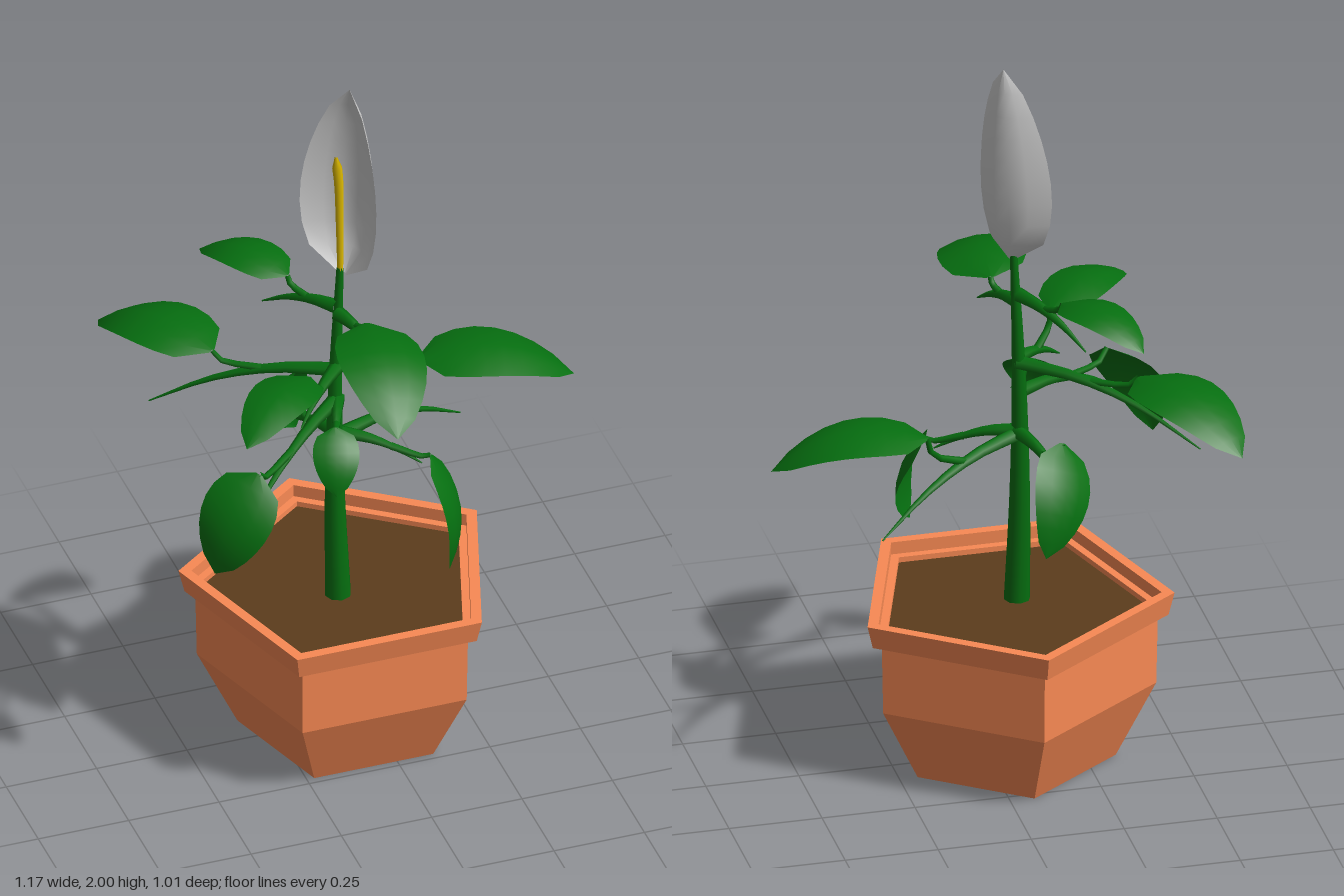
import * as THREE from 'three';

const V = (p) => new THREE.Vector3(...p);
const mat = (color, extra = {}) => new THREE.MeshStandardMaterial({ color, ...extra });
const green = mat(0x066f10);
const leafGreen = mat(0x066f10, { side: THREE.DoubleSide });
const clay = mat(0xf98a54, { flatShading: true });
const soilBrown = mat(0x5c3d1c, { flatShading: true });
const white = mat(0xcccccc, { side: THREE.DoubleSide });
const yellow = mat(0xe0bc00);

function add(parent, name, geometry, material) {
  const mesh = new THREE.Mesh(geometry, material);
  mesh.name = name;
  parent.add(mesh);
  return mesh;
}

// Tube through points whose radius follows a rule of t
function taperedTube(points, radiusAt, segments = 8, sides = 7) {
  const curve = new THREE.CatmullRomCurve3(points);
  const geo = new THREE.TubeGeometry(curve, segments, 1, sides);
  const pos = geo.attributes.position;
  const v = new THREE.Vector3();
  for (let i = 0; i <= segments; i++) {
    const c = curve.getPointAt(i / segments);
    for (let j = 0; j <= sides; j++) {
      const k = i * (sides + 1) + j;
      v.fromBufferAttribute(pos, k).sub(c).multiplyScalar(radiusAt(i / segments)).add(c);
      pos.setXYZ(k, v.x, v.y, v.z);
    }
  }
  return geo;
}

// Smooth sheet from a rule of t (0 to 1 along) and s (-1 to 1 across)
function sheet(rows, cols, pointAt) {
  const pos = [], index = [];
  for (let i = 0; i <= rows; i++) {
    for (let j = 0; j <= cols; j++) {
      pos.push(...pointAt(i / rows, (j / cols) * 2 - 1).toArray());
      if (i < rows && j < cols) {
        const a = i * (cols + 1) + j, b = a + cols + 1;
        index.push(a, a + 1, b, b, a + 1, b + 1);
      }
    }
  }
  const geo = new THREE.BufferGeometry();
  geo.setAttribute('position', new THREE.Float32BufferAttribute(pos, 3));
  geo.setIndex(index);
  geo.computeVertexNormals();
  return geo;
}

// Oval outline, widest below the middle, as a fraction of the full half width
const outline = (t) => 0.1 * (1 - t) ** 3 + Math.sin(Math.PI * t ** 0.75) ** 0.62;

// Leaf blade: arched midrib with slightly lowered edges
function leafGeometry(base, tip, half, sideVector) {
  const along = tip.clone().sub(base);
  const length = along.length();
  along.normalize();
  const side = sideVector ? V(sideVector) : along.clone().cross(new THREE.Vector3(0, 1, 0));
  side.addScaledVector(along, -side.dot(along)).normalize();
  const up = side.clone().cross(along).normalize();
  return sheet(8, 4, (t, s) => {
    const w = outline(t) * half;
    const lift = 0.64 * length * t * (1 - t);
    return base.clone().lerp(tip, t).addScaledVector(side, s * w).addScaledVector(up, lift - 0.2 * s * s * w);
  });
}

// Branch sinking away from the stem to a spike, with a stalk up to its leaf
function makeShoot({ y, base, tip, half, side, reach = 1.5 }) {
  const shoot = new THREE.Group();
  const leafBase = V(base);
  const root = new THREE.Vector3(-0.09, y, 0.018);
  const run = leafBase.clone().sub(root).setY(0).multiplyScalar(reach);
  const drop = 0.35 * run.length();
  const branchAt = (t) => root.clone().addScaledVector(run, t).setY(y - drop * t * t);
  add(shoot, 'branch', taperedTube([0, 0.33, 0.67, 1].map(branchAt), (t) => 0.021 - 0.019 * t, 8, 6), green);
  const joint = branchAt(0.57 / reach);
  const bend = branchAt(0.84 / reach).lerp(leafBase, 0.6);
  add(shoot, 'leafStalk', taperedTube([joint, bend, leafBase], (t) => 0.011 - 0.004 * t, 4, 6), green);
  add(shoot, 'leaf', leafGeometry(leafBase, V(tip), half, side), leafGreen);
  return shoot;
}

// Height on the stem, leaf ends, half width, width direction of tilted leaves, length of branch
const shoots = [
  { y: 1.31, base: [-0.045, 1.335, 0.12], tip: [-0.095, 1.23, 0.505], half: 0.115, side: [-1, 0.12, -0.1] },
  { y: 1.14, base: [-0.21, 1.21, 0.13], tip: [-0.46, 1.185, 0.355], half: 0.085, reach: 1.25 },
  { y: 1.33, base: [-0.18, 1.36, -0.12], tip: [-0.335, 1.315, -0.37], half: 0.075 },
  { y: 1.13, base: [-0.375, 1.14, -0.16], tip: [-0.565, 1.05, -0.51], half: 0.11 },
  { y: 0.93, base: [-0.165, 0.98, -0.18], tip: [-0.085, 0.72, -0.32], half: 0.088, side: [0.85, 0, -0.4], reach: 1.2 },
  { y: 0.92, base: [0.185, 1.01, -0.12], tip: [0.585, 0.92, -0.04], half: 0.113 },
  { y: 0.93, base: [0.13, 0.88, 0.13], tip: [0.14, 0.59, 0.245], half: 0.085, side: [-0.45, 0.1, 0.8], reach: 0.9 },
  { y: 1.04, base: [-0.39, 1.02, 0.25], tip: [-0.52, 0.75, 0.275], half: 0.1, side: [-0.7, 0, -0.7], reach: 1.1 },
  { y: 1.04, base: [-0.15, 1.06, 0.17], tip: [-0.18, 0.91, 0.27], half: 0.06, reach: 1.1 },
];

export function createModel() {
  const model = new THREE.Group();
  model.name = 'pottedPlant';

  // Five-sided pot with a stepped rim, one corner to the back
  const profile = [[0, 0], [0.28, 0], [0.386, 0.215], [0.39, 0.41], [0.418, 0.415], [0.434, 0.48],
    [0.4, 0.48], [0.4, 0.445], [0.374, 0.445], [0.374, 0.4]].map(([r, y]) => new THREE.Vector2(r, y));
  const pot = add(model, 'pot', new THREE.LatheGeometry(profile, 5, Math.PI), clay);
  pot.position.set(-0.065, 0, 0.004);

  const soil = add(model, 'soil', new THREE.CylinderGeometry(0.374, 0.37, 0.02, 5, 1, false, Math.PI), soilBrown);
  soil.position.set(-0.065, 0.42, 0.004);

  // Stem
  const stemPath = [[-0.095, 0.41, 0.037], [-0.1, 0.75, 0.025], [-0.095, 1.1, 0.015], [-0.08, 1.45, 0.01]].map(V);
  add(model, 'stem', taperedTube(stemPath, (t) => 0.036 - 0.026 * t, 10, 8), green);

  // Leafy shoots
  shoots.forEach((spec, n) => {
    const shoot = makeShoot(spec);
    shoot.name = `shoot${n + 1}`;
    model.add(shoot);
  });

  // Hooded flower petal: a curved shell, hollow towards the spike
  const across = new THREE.Vector3(0.545, 0, 0.84);
  const back = new THREE.Vector3(0.84, 0, -0.545);
  const petal = sheet(9, 6, (t, s) => {
    const w = 0.123 * outline(t);
    return new THREE.Vector3(-0.075 + 0.025 * t, 1.435 + 0.565 * t, 0.02 - 0.02 * t)
      .addScaledVector(across, w * s)
      .addScaledVector(back, w * (0.42 - 0.68 * s * s));
  });
  add(model, 'flowerPetal', petal, white);

  // Flower spike
  const spikePath = [[-0.08, 1.44, 0.012], [-0.083, 1.6, 0.016], [-0.086, 1.72, 0.018], [-0.095, 1.81, 0.02]].map(V);
  add(model, 'flowerSpike', taperedTube(spikePath, (t) => (t === 1 ? 0.003 : 0.008 + 0.006 * t), 10, 7), yellow);

  return model;
}
